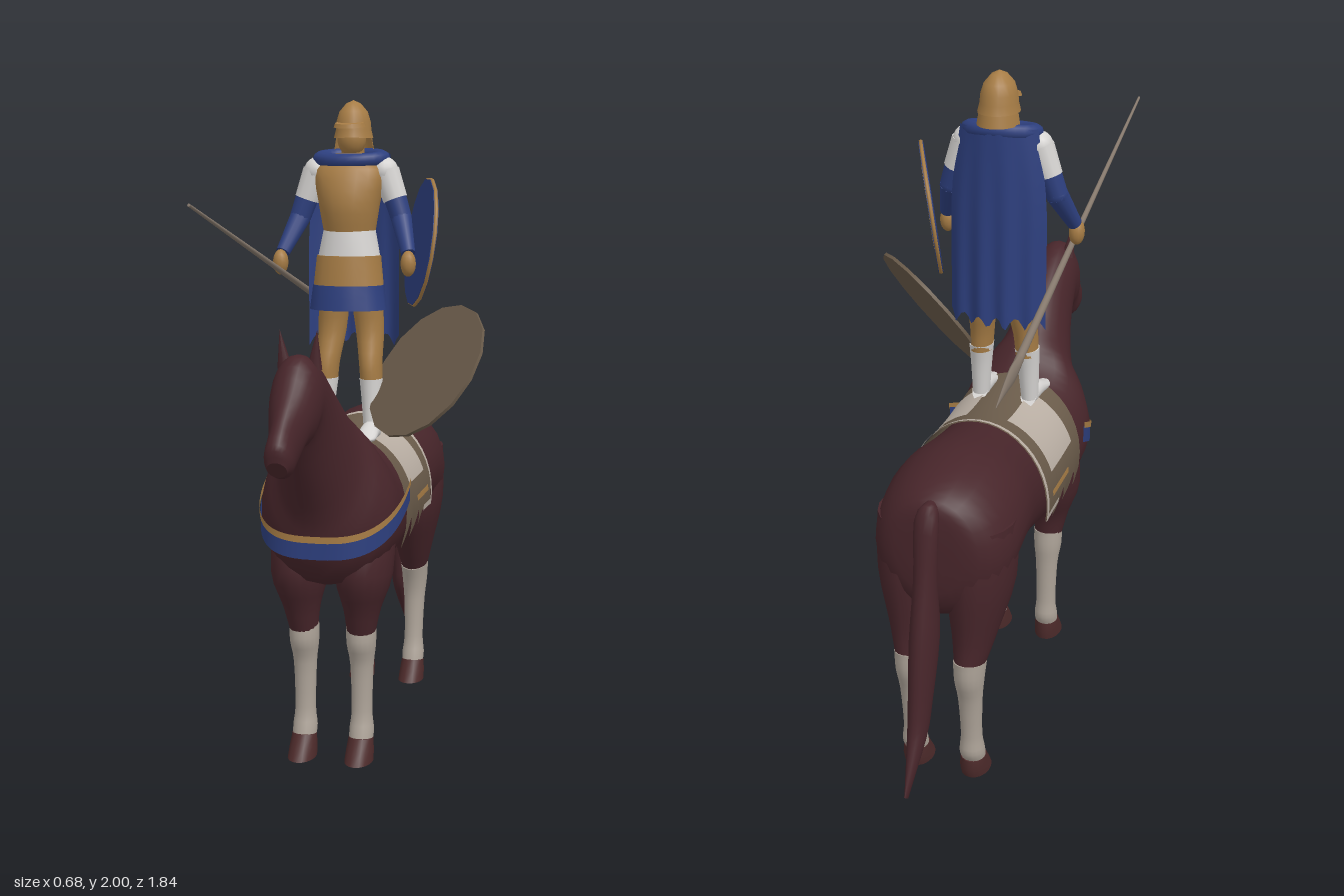
import * as THREE from 'three';

const CX = -0.115; // shared centre line of horse and rider
const V = (x, y, z) => new THREE.Vector3(x, y, z);

export function createModel() {
  const root = new THREE.Group();
  const mat = (name, color, side = THREE.FrontSide) => {
    const m = new THREE.MeshStandardMaterial({ color, side });
    m.name = name;
    return m;
  };
  const coat = mat('chestnut coat', 0x47252a);
  const hoofM = mat('hoof brown', 0x4c2a2a);
  const stocking = mat('stocking grey', 0xada398);
  const blue = mat('blue cloth', 0x2d3f7e, THREE.DoubleSide);
  const gold = mat('bronze', 0xa67c45, THREE.DoubleSide);
  const white = mat('white linen', 0xd6d4d2);
  const taupe = mat('taupe cloth', 0x6a5b4a, THREE.DoubleSide);
  const pale = mat('pale trim', 0xb9aea3, THREE.DoubleSide);
  const wood = mat('grey wood', 0x85786c);

  const horse = new THREE.Group(); horse.name = 'horse';
  const rider = new THREE.Group(); rider.name = 'rider';
  root.add(horse, rider);
  const add = (parent, name, geo, material) => {
    const m = new THREE.Mesh(geo, material);
    m.name = name;
    parent.add(m);
    return m;
  };

  // Smooth loft; each section is [zA, yA, zB, yB, halfWidth, xOffset]
  function loft(secs, mirror = 1, n = 18, sub = 3) {
    const curve = f => new THREE.CatmullRomCurve3(secs.map(f), false, 'catmullrom', 0.5);
    const A = curve(s => V(0, s[1], s[0])), B = curve(s => V(0, s[3], s[2]));
    const W = curve(s => V(s[4], (s[5] || 0) * mirror, 0));
    const rows = (secs.length - 1) * sub, pos = [], idx = [];
    for (let i = 0; i <= rows; i++) {
      const t = i / rows, a = A.getPoint(t), b = B.getPoint(t), w = W.getPoint(t);
      for (let j = 0; j < n; j++) {
        const th = j / n * Math.PI * 2, k = (1 + Math.cos(th)) / 2;
        pos.push(CX + w.y + Math.sin(th) * w.x, b.y + (a.y - b.y) * k, b.z + (a.z - b.z) * k);
      }
    }
    for (let i = 0; i < rows; i++) for (let j = 0; j < n; j++) {
      const p = i * n + j, q = i * n + (j + 1) % n;
      idx.push(p, q, p + n, q, q + n, p + n);
    }
    // end caps on their own vertices
    for (const end of [0, rows]) {
      const base = pos.length / 3;
      for (let k = 0; k < n * 3; k++) pos.push(pos[end * n * 3 + k]);
      for (let j = 1; j < n - 1; j++) idx.push(...(end ? [base, base + j, base + j + 1] : [base, base + j + 1, base + j]));
    }
    // turn the faces outward
    let vol = 0;
    const P = i => V(pos[i * 3], pos[i * 3 + 1], pos[i * 3 + 2]);
    for (let i = 0; i < idx.length; i += 3) vol += P(idx[i]).dot(P(idx[i + 1]).cross(P(idx[i + 2])));
    if (vol < 0) idx.reverse();
    const g = new THREE.BufferGeometry();
    g.setAttribute('position', new THREE.Float32BufferAttribute(pos, 3));
    g.setIndex(idx);
    g.computeVertexNormals();
    return g;
  }

  // Sheet shaped by a rule f(u, v) -> Vector3
  function sheet(f, nu, nv) {
    const g = new THREE.PlaneGeometry(1, 1, nu, nv), p = g.attributes.position;
    for (let i = 0; i < p.count; i++) {
      const q = f(p.getX(i) + 0.5, p.getY(i) + 0.5);
      p.setXYZ(i, q.x, q.y, q.z);
    }
    g.computeVertexNormals();
    return g;
  }

  // Tapered rod between two points
  function limb(parent, name, a, b, ra, rb, material) {
    const m = add(parent, name, new THREE.CylinderGeometry(rb, ra, a.distanceTo(b), 12), material);
    m.position.copy(a).lerp(b, 0.5);
    m.quaternion.setFromUnitVectors(V(0, 1, 0), b.clone().sub(a).normalize());
  }

  // Horse trunk, neck and head
  add(horse, 'body', loft([
    [-.705, .90, -.705, .76, .03], [-.685, .95, -.69, .62, .14], [-.6, .99, -.6, .55, .2], [-.45, 1.01, -.45, .6, .208],
    [-.28, .99, -.28, .575, .19], [-.07, .965, -.07, .535, .19], [.08, .97, .1, .54, .205], [.16, 1.01, .29, .57, .21],
    [.2, 1.06, .37, .67, .175], [.26, 1.11, .4, .78, .12], [.38, 1.21, .47, .92, .085], [.5, 1.28, .535, 1.05, .075],
    [.58, 1.285, .575, 1.03, .072], [.65, 1.21, .62, 1.03, .06], [.72, 1.14, .665, .985, .042],
    [.775, 1.08, .71, .975, .04], [.775, 1.03, .745, .985, .028]], 1, 24), coat);
  add(horse, 'tail', loft([[-.66, .9, -.68, .95, .02], [-.71, .86, -.74, .93, .035], [-.7, .72, -.775, .74, .033],
    [-.685, .55, -.815, .55, .04], [-.74, .36, -.845, .33, .032], [-.775, .26, -.87, .25, .025], [-.9, .11, -.925, .13, .004]]), coat);

  // Horse legs, stockings, hooves and ears
  for (const s of [-1, 1]) {
    add(horse, 'frontLeg', loft([[.27, .78, 0, .78, .085, .1], [.31, .6, .08, .58, .088, .1],
      [.265, .48, .13, .48, .058, .095], [.235, .39, .145, .39, .042, .09]], s), coat);
    add(horse, 'frontStocking', loft([[.238, .41, .14, .42, .046, .09], [.238, .36, .138, .36, .045, .09], [.215, .29, .145, .29, .036, .09],
      [.212, .15, .15, .15, .032, .09], [.225, .09, .145, .09, .038, .09], [.235, .05, .16, .05, .036, .09]], s), stocking);
    add(horse, 'frontHoof', loft([[.235, .07, .155, .06, .038, .09], [.265, .035, .15, .03, .042, .09], [.29, 0, .155, 0, .044, .09]], s, 18, 1), hoofM);
    add(horse, 'hindLeg', loft([[-.42, .85, -.68, .85, .1, .1], [-.41, .65, -.695, .68, .1, .1],
      [-.49, .5, -.68, .5, .065, .095], [-.555, .4, -.685, .41, .044, .09]], s), coat);
    add(horse, 'hindStocking', loft([[-.55, .4, -.688, .43, .047, .09], [-.57, .35, -.682, .36, .043, .09], [-.582, .28, -.655, .28, .036, .09],
      [-.575, .15, -.638, .15, .032, .09], [-.56, .09, -.64, .09, .038, .09], [-.55, .05, -.62, .05, .036, .09]], s), stocking);
    add(horse, 'hindHoof', loft([[-.55, .07, -.63, .06, .038, .09], [-.525, .035, -.635, .03, .042, .09], [-.5, 0, -.625, 0, .044, .09]], s, 18, 1), hoofM);
    const ear = add(horse, 'ear', new THREE.ConeGeometry(.022, .11, 8), coat);
    ear.position.set(CX + s * .048, 1.305, .535);
    ear.rotation.set(.1, 0, -s * .1);
    ear.scale.z = .7;
  }

  // Chest strap with bronze edge
  const strap = (lo, hi, off) => sheet((u, v) => {
    const a = (u - .5) * Math.PI, c = Math.max(0, Math.cos(a)), k = Math.sin(a);
    const zz = Math.pow(c, .8);
    return V(CX + (.222 + off) * Math.sign(k) * Math.pow(Math.abs(k), .7),
      .795 - .125 * zz + lo + (hi - lo) * v, .1 + (.292 + off) * zz);
  }, 40, 1);
  add(horse, 'chestStrap', strap(0, .055, 0), blue);
  add(horse, 'strapEdge', strap(.05, .07, .003), gold);

  // Saddle cloth draped over the back; s is the signed drape angle
  const drape = (z0, z1, s0, s1, off, jag = () => 0, nz = 24) => sheet((u, v) => {
    const z = z0 + (z1 - z0) * u, q = (z + .09) / .19;
    const lim = Math.abs(v - .5) * 2, a0 = s0 + (s1 - s0) * v;
    const a = a0 + Math.sign(a0) * jag(z) * Math.pow(lim, 6);
    return V(CX + (.213 + off) * Math.sin(a), .75 + (.23 + .022 * q * q + off) * Math.cos(a), z);
  }, nz, 24);
  const zigzag = z => z < -.15 ? 0 : .36 * Math.abs(((z + .15) / .12) % 1 - .5) * 2 - .08;
  add(horse, 'saddleCloth', drape(.1, -.28, -1.75, 1.75, 0, zigzag, 48), taupe);
  add(horse, 'clothRearTrim', drape(-.262, -.28, -1.75, 1.75, .004), pale);
  for (const s of [-1, 1]) {
    add(horse, 'clothPanel', drape(.02, -.2, s * .3, s * 1.22, .004), pale);
    add(horse, 'clothLowerTrim', drape(-.15, -.28, s * 1.67, s * 1.75, .004), pale);
    add(horse, 'clothBand', drape(-.05, -.22, s * 1.44, s * 1.52, .004), gold);
  }

  // Rider tunic in coloured tiers
  add(rider, 'cuirass', loft([[.03, 1.59, -.12, 1.59, .078], [.045, 1.69, -.13, 1.69, .095],
    [.015, 1.79, -.13, 1.79, .11], [-.04, 1.84, -.12, 1.84, .05]]), gold);
  add(rider, 'waistCloth', loft([[.04, 1.52, -.115, 1.52, .098], [.032, 1.61, -.12, 1.61, .08]]), white);
  add(rider, 'belt', loft([[.058, 1.43, -.115, 1.43, .11], [.045, 1.53, -.115, 1.53, .1]]), gold);
  add(rider, 'skirtHem', loft([[.07, 1.365, -.115, 1.365, .12], [.058, 1.44, -.115, 1.44, .111]]), blue);
  add(rider, 'neck', loft([[-.05, 1.82, -.13, 1.82, .035], [-.05, 1.88, -.13, 1.88, .035]]), gold);
  const collar = add(rider, 'collar', new THREE.TorusGeometry(.075, .022, 10, 24), blue);
  collar.position.set(CX, 1.825, -.07);
  collar.rotation.x = Math.PI / 2 + .15;
  collar.scale.set(1.25, .85, 1);

  // Head and helmet
  const face = add(rider, 'face', new THREE.SphereGeometry(.045, 16, 12), gold);
  face.position.set(CX, 1.885, -.075);
  face.scale.y = 1.25;
  const helm = add(rider, 'helmet', new THREE.LatheGeometry([[.06, 1.885], [.054, 1.91], [.052, 1.935], [.043, 1.965], [.022, 1.99], [0, 2]]
    .map(p => new THREE.Vector2(...p)), 20), gold);
  helm.position.z = -.1; helm.position.x = CX; helm.scale.z = 1.25;
  const visor = add(rider, 'visor', new THREE.CylinderGeometry(.045, .05, .012, 16), gold);
  visor.position.set(CX, 1.925, -.05); visor.rotation.x = .15;
  const guard = add(rider, 'neckGuard', new THREE.CylinderGeometry(.052, .062, .06, 16, 1, true, Math.PI / 2, Math.PI), gold);
  guard.position.set(CX, 1.88, -.1); guard.scale.z = 1.25;

  // Cape with a ragged hem
  add(rider, 'cape', sheet((u, v) => {
    const k = u * 2 - 1, y = 1.24 + .6 * v, hem = (1 - v) * .04 * Math.abs(Math.sin(u * 17));
    return V(CX + k * (.115 + .03 * Math.sin(Math.min(1, (1 - v) * 2) * 1.57)), y + hem,
      -.15 + .05 * k * k + .008 * Math.cos(k * 12) * (1 - v));
  }, 28, 10), blue);

  // Rider legs and arms
  for (const s of [-1, 1]) {
    add(rider, 'thigh', loft([[.0, 1.42, -.1, 1.42, .05, .05], [-.01, 1.3, -.11, 1.3, .044, .06],
      [.015, 1.2, -.085, 1.2, .036, .068], [.015, 1.13, -.075, 1.13, .034, .072]], s), gold);
    add(rider, 'greave', loft([[.018, 1.15, -.078, 1.15, .037, .072], [.015, 1.08, -.06, 1.08, .032, .075], [.018, .98, -.045, .98, .026, .078]], s), white);
    add(rider, 'shoe', loft([[0, 1.02, -.05, .96, .025, .078], [.03, 1.02, .03, .965, .03, .08], [.09, .995, .09, .968, .03, .083], [.125, .985, .12, .975, .015, .085]], s), white);
    const at = (x, y, z) => V(CX + s * x, y, z);
    const shoulder = add(rider, 'shoulder', new THREE.SphereGeometry(.044, 14, 10), white);
    shoulder.position.copy(at(.105, 1.785, -.065));
    limb(rider, 'sleeve', at(.11, 1.785, -.065), at(.14, 1.7, -.062), .042, .038, white);
    limb(rider, 'upperArm', at(.138, 1.71, -.062), at(.16, 1.645, -.055), .036, .033, blue);
    const elbow = add(rider, 'elbow', new THREE.SphereGeometry(.033, 12, 8), blue);
    elbow.position.copy(at(.16, 1.645, -.055));
    limb(rider, 'forearm', at(.16, 1.645, -.055), at(.197, 1.54, .015), .033, .022, blue);
    const hand = add(rider, 'hand', new THREE.SphereGeometry(.028, 12, 10), gold);
    hand.position.copy(at(.2, 1.51, .03));
    hand.scale.set(.85, 1.4, 1);
  }

  // Spear
  const spear = new THREE.Group(); spear.name = 'spear'; root.add(spear);
  limb(spear, 'spearShaft', V(-.313, 1.325, -.55), V(-.288, 1.705, .917), .012, .004, wood);
  const o = -.314 - CX;
  add(spear, 'spearHead', loft([[-.532, 1.342, -.526, 1.318, .012, o], [-.603, 1.338, -.59, 1.287, .01, o],
    [-.67, 1.312, -.664, 1.282, .006, o], [-.737, 1.278, -.737, 1.276, .001, o]], 1, 8), wood);

  // Round shield on the left arm, outward side along local +z
  const shield = new THREE.Group(); shield.name = 'armShield'; root.add(shield);
  shield.position.set(.105, 1.57, -.063);
  shield.quaternion.setFromUnitVectors(V(0, 0, 1), V(.917, -.14, -.376).normalize());
  const disc = add(shield, 'shieldDisc', new THREE.CylinderGeometry(.195, .195, .014, 16), blue);
  disc.rotation.x = Math.PI / 2;
  add(shield, 'shieldRim', new THREE.TorusGeometry(.194, .006, 6, 16), gold);
  const paint = (name, geo) => { add(shield, name, geo, gold).position.z = .009; };
  paint('bossRing', new THREE.RingGeometry(.028, .052, 24));
  for (let i = 0; i < 3; i++) {
    const a = i * Math.PI * 2 / 3 + .5;
    paint('shieldArc', new THREE.RingGeometry(.1, .128, 16, 1, a, 1.5));
    paint('shieldSpoke', new THREE.RingGeometry(.05, .105, 3, 1, a + .1, .3));
  }

  // Plain round shield leaning beside the neck
  const loose = add(root, 'leaningShield', new THREE.CylinderGeometry(.231, .231, .01, 16), taupe);
  loose.position.set(.15, 1.193, .075);
  loose.quaternion.setFromUnitVectors(V(0, 1, 0), V(-1, 1, 1).normalize());

  return root;
}
